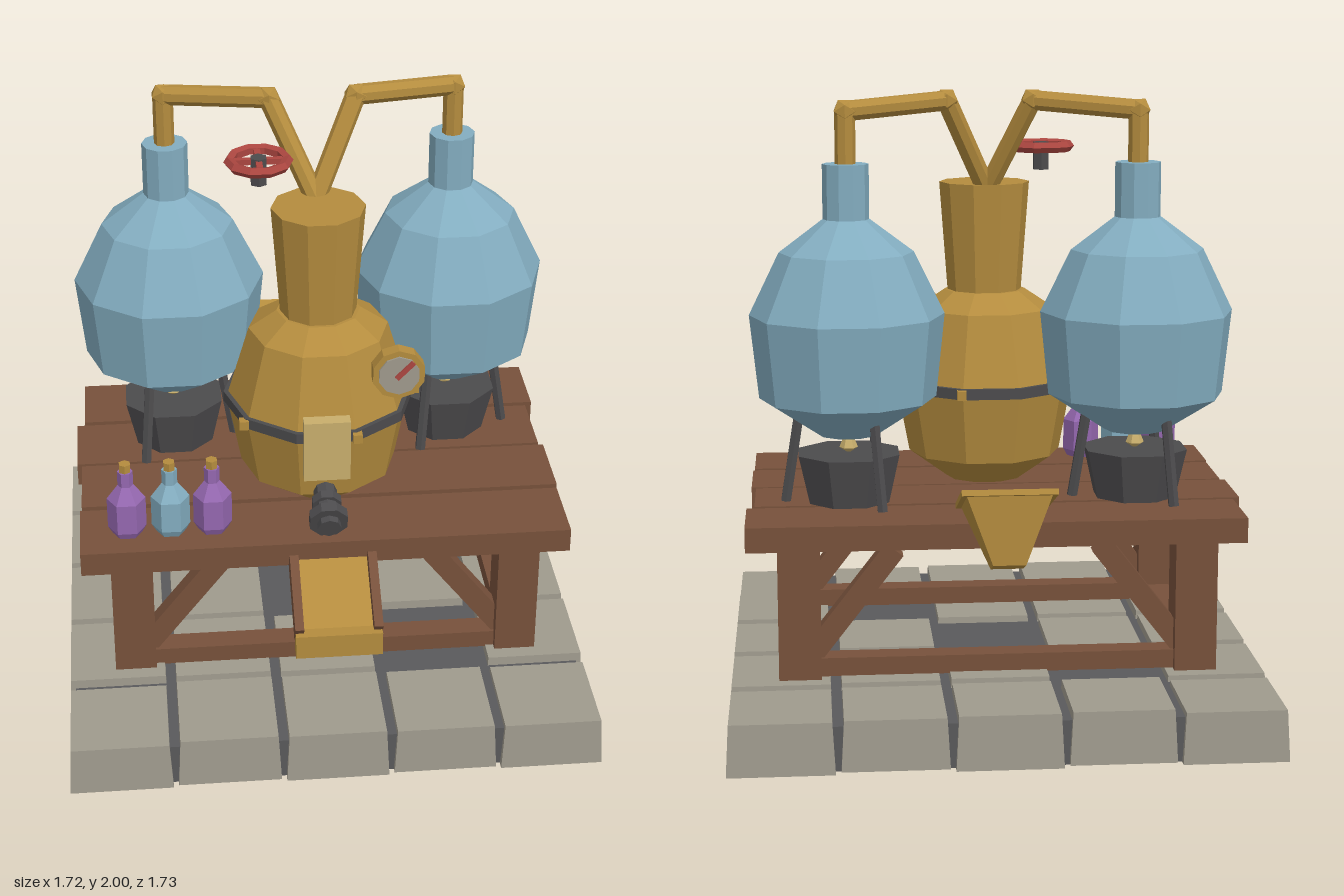
import * as THREE from 'three';

const mat = (name, color) => {
  const m = new THREE.MeshStandardMaterial({ color, flatShading: true });
  m.name = name;
  return m;
};

export function createModel() {
  const root = new THREE.Group();
  root.name = 'distillery';
  const stone = mat('stone', 0x9f9a8d), grout = mat('grout', 0x59595b), wood = mat('wood', 0x77513b);
  const brass = mat('brass', 0xb48c3e), pale = mat('paleBrass', 0xc8ae6c), iron = mat('iron', 0x4c4b4d);
  const blue = mat('blueGlaze', 0x83adc0), purple = mat('purpleGlass', 0x9568b0), red = mat('red', 0xab4640);

  const add = (name, geo, material, x = 0, y = 0, z = 0, parent = root) => {
    const m = new THREE.Mesh(geo, material);
    m.name = name;
    m.position.set(x, y, z);
    parent.add(m);
    return m;
  };
  const box = (w, h, d) => new THREE.BoxGeometry(w, h, d);
  const cyl = (rt, rb, h, n) => new THREE.CylinderGeometry(rt, rb, h, n);
  // square frustum with side lengths a (top) and b (bottom)
  const frustum = (a, b, h) => cyl(a / Math.SQRT2, b / Math.SQRT2, h, 4).rotateY(Math.PI / 4);
  // turned body with corners on the x axis
  const turned = (pts, n) =>
    new THREE.LatheGeometry(pts.map(p => new THREE.Vector2(p[0], p[1])), n).rotateY(Math.PI / 2);
  const rod = (name, a, b, r, n, material, parent = root) => {
    const A = new THREE.Vector3(...a), B = new THREE.Vector3(...b), d = B.clone().sub(A);
    const m = add(name, cyl(r, r, d.length(), n), material, 0, 0, 0, parent);
    m.position.copy(A).addScaledVector(d, 0.5);
    m.quaternion.setFromUnitVectors(new THREE.Vector3(0, 1, 0), d.normalize());
    return m;
  };

  // paved base: tapered stones set in a darker slab
  add('groutSlab', box(1.67, 0.142, 1.67), grout, 0, 0.074, 0);
  for (let i = 0; i < 5; i++) for (let j = 0; j < 5; j++) {
    const edge = i % 4 === 0 || j % 4 === 0;
    if (!edge && (i * 2 + j) % 3 === 0) continue;
    const bottom = (i + j) % 2 ? 0.008 : 0;
    const top = 0.163 + ((i * 7 + j * 5) % 4) * 0.004;
    add('pavingStone', frustum(0.312, 0.33, top - bottom), stone,
      (i - 2) * 0.347, (top + bottom) / 2, (j - 2) * 0.347);
  }

  // table
  [[-0.415, 0.01], [-0.14, -0.015], [0.127, 0], [0.403, -0.005]].forEach(([z, dx]) =>
    add('tableBoard', box(1.575, 0.08, 0.254), wood, dx, 0.65, z));
  for (const sx of [-1, 1]) {
    for (const sz of [-1, 1]) {
      add('tableLeg', box(0.135, 0.45, 0.13), wood, sx * 0.633, 0.39, sz * 0.39);
      const brace = add('tableBrace', box(0.07, 0.44, 0.06), wood, sx * 0.465, 0.405, sz * 0.39);
      brace.rotation.z = -sx * -0.66;
      brace.rotation.z = sx * 0.66;
    }
    add('sideStretcher', box(0.08, 0.06, 0.66), wood, sx * 0.633, 0.2, 0);
    add('longStretcher', box(1.14, 0.06, 0.08), wood, 0, 0.2, sx * 0.39);
  }

  // central boiler with flared neck
  const cz = 0.14;
  const boiler = new THREE.Group();
  boiler.name = 'boiler';
  boiler.position.z = cz;
  root.add(boiler);
  add('boilerBody', turned([[0, 0.69], [0.13, 0.69], [0.255, 0.78], [0.3, 1.02], [0.225, 1.27], [0.135, 1.33], [0, 1.33]], 10), brass, 0, 0, 0, boiler);
  add('boilerNeck', cyl(0.15, 0.122, 0.38, 10).rotateY(Math.PI / 2), brass, 0, 1.5, 0, boiler);
  add('boilerBand', cyl(0.31, 0.31, 0.035, 10).rotateY(Math.PI / 2), iron, 0, 1.022, 0, boiler);
  for (let k = 0; k < 5; k++) {
    const a = k * Math.PI * 0.4;
    add('bandRivet', box(0.03, 0.03, 0.03), brass, Math.cos(a) * 0.315, 1.022, Math.sin(a) * 0.315, boiler);
  }
  add('frontPlate', box(0.148, 0.21, 0.045), pale, 0, 0.985, 0.437);

  // tap with two collars, pointing forward and down
  const tap = new THREE.Group();
  tap.name = 'tap';
  tap.position.set(0, 0.772, 0.455);
  tap.rotation.x = Math.PI / 2 + 0.3;
  root.add(tap);
  add('tapPipe', cyl(0.038, 0.038, 0.17, 8), iron, 0, 0, 0, tap);
  add('tapCollar', cyl(0.065, 0.065, 0.035, 8).rotateY(Math.PI / 8), iron, 0, 0.045, 0, tap);
  add('tapCollar', cyl(0.05, 0.05, 0.03, 8).rotateY(Math.PI / 8), iron, 0, -0.02, 0, tap);

  // pressure gauge
  const gauge = new THREE.Group();
  gauge.name = 'gauge';
  gauge.position.set(0.225, 1.24, 0.415);
  root.add(gauge);
  add('gaugeCase', cyl(0.085, 0.085, 0.045, 10).rotateX(Math.PI / 2), brass, 0, 0, 0, gauge);
  add('gaugeFace', cyl(0.066, 0.066, 0.008, 10).rotateX(Math.PI / 2), stone, 0, 0, 0.025, gauge);
  add('gaugeNeedle', box(0.075, 0.016, 0.008), red, 0.018, 0.02, 0.032, gauge).rotation.z = 0.8;

  // valve wheel
  const valve = new THREE.Group();
  valve.name = 'valve';
  valve.position.set(-0.18, 1.813, 0.055);
  root.add(valve);
  add('wheelRim', new THREE.TorusGeometry(0.092, 0.018, 5, 10).rotateX(Math.PI / 2), red, 0, 0, 0, valve);
  for (const r of [0, Math.PI / 2]) add('wheelSpoke', box(0.18, 0.018, 0.02), red, 0, 0, 0, valve).rotation.y = r;
  add('valveStem', cyl(0.028, 0.028, 0.09, 6), iron, 0, -0.032, 0, valve);

  // side tanks with stands, braziers and pipes
  const tankProfile = [[0, 0.91], [0.1, 0.91], [0.285, 1.03], [0.313, 1.3], [0.215, 1.5], [0.075, 1.605], [0, 1.605]];
  for (const s of [-1, 1]) {
    const tank = new THREE.Group();
    tank.name = 'tankUnit';
    tank.position.set(s * 0.467, 0, -0.19);
    root.add(tank);
    add('tank', turned(tankProfile, 10), blue, 0, 0, 0, tank);
    add('tankNeck', cyl(0.074, 0.074, 0.19, 10).rotateY(Math.PI / 2), blue, 0, 1.685, 0, tank);
    for (let k = 0; k < 3; k++) {
      const a = k * Math.PI * 2 / 3, c = Math.cos(a), n = Math.sin(a);
      rod('tankLeg', [c * 0.205, 0.69, n * 0.205], [c * 0.155, 1, n * 0.155], 0.018, 6, iron, tank);
    }
    add('brazier', cyl(0.175, 0.138, 0.16, 8).rotateY(Math.PI / 8), iron, 0, 0.77, 0, tank);
    add('flame', turned([[0, 0.845], [0.03, 0.865], [0.02, 0.89], [0, 0.92]], 6), pale, 0, 0, 0, tank);

    const path = [[s * 0.467, 1.76, -0.19], [s * 0.467, 1.945, -0.19], [s * 0.138, 1.97, -0.075], [0, 1.67, 0.045]];
    for (let k = 0; k < 3; k++) {
      rod('pipe', path[k], path[k + 1], 0.033, 8, brass);
      if (k) add('pipeJoint', new THREE.IcosahedronGeometry(0.04, 0), brass, ...path[k]);
    }
  }

  // bottles
  [[-0.64, purple], [-0.5, blue], [-0.365, purple]].forEach(([x, m]) => {
    add('bottle', turned([[0, 0.69], [0.048, 0.69], [0.062, 0.715], [0.062, 0.82], [0.025, 0.87], [0.025, 0.92], [0, 0.92]], 6), m, x, 0, 0.41);
    add('cork', cyl(0.02, 0.02, 0.04, 6), brass, x, 0.928, 0.41);
  });

  // delivery chute at the front
  const chute = new THREE.Group();
  chute.name = 'chute';
  chute.position.set(0, 0.63, 0.735);
  chute.rotation.x = 0.59;
  root.add(chute);
  add('chuteTray', box(0.24, 0.025, 0.25), brass, 0, -0.015, 0, chute);
  for (const s of [-1, 1]) add('chuteRail', box(0.028, 0.075, 0.25), wood, s * 0.123, 0, 0, chute);
  add('chuteLip', box(0.27, 0.08, 0.042), brass, 0, 0.53, 0.845);

  // tilted hopper at the back
  const hopper = new THREE.Group();
  hopper.name = 'hopper';
  hopper.position.set(0, 0.81, -0.685);
  hopper.rotation.x = 0.37;
  root.add(hopper);
  add('hopperFunnel', frustum(0.265, 0.1, 0.21), brass, 0, -0.11, 0, hopper);
  add('hopperRim', box(0.29, 0.018, 0.29), brass, 0, -0.006, 0, hopper);

  // braces lean from the legs up towards the middle
  root.traverse(o => { if (o.name === 'tableBrace') o.rotation.z = o.position.x > 0 ? 0.66 : -0.66; });
  return root;
}
